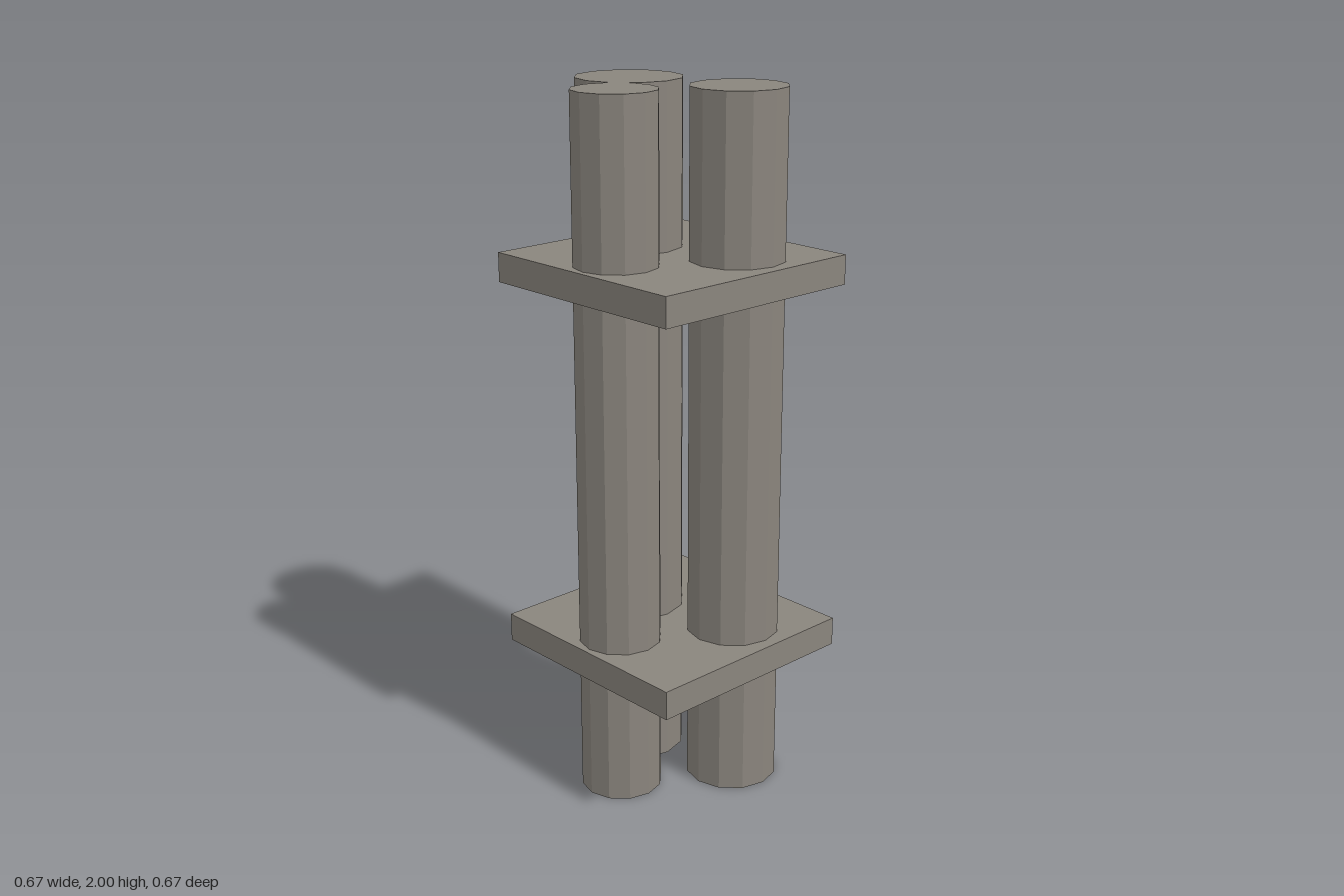
import * as THREE from 'three';

export function createModel() {
  const model = new THREE.Group();
  const stone = new THREE.MeshStandardMaterial({ color: 0x8a857d, flatShading: true });
  stone.name = 'warm grey';

  const add = (name, geometry, x, y, z) => {
    const mesh = new THREE.Mesh(geometry, stone);
    mesh.name = name;
    mesh.position.set(x, y, z);
    model.add(mesh);
  };

  // Three full-height twelve-sided pipes: name, radius, x, z
  const pipes = [
    ['largePipe', 0.15, -0.167, 0],
    ['mediumPipe', 0.133, 0.167, -0.084],
    ['smallPipe', 0.117, 0, 0.2],
  ];
  for (const [name, r, x, z] of pipes) {
    add(name, new THREE.CylinderGeometry(r, r, 2, 12), x, 1, z);
  }

  // Square bracket plates holding the pipes together
  const plate = new THREE.BoxGeometry(0.667, 0.083, 0.667);
  add('lowerBracket', plate, 0, 0.418, 0);
  add('upperBracket', plate, 0, 1.5, 0);

  return model;
}
